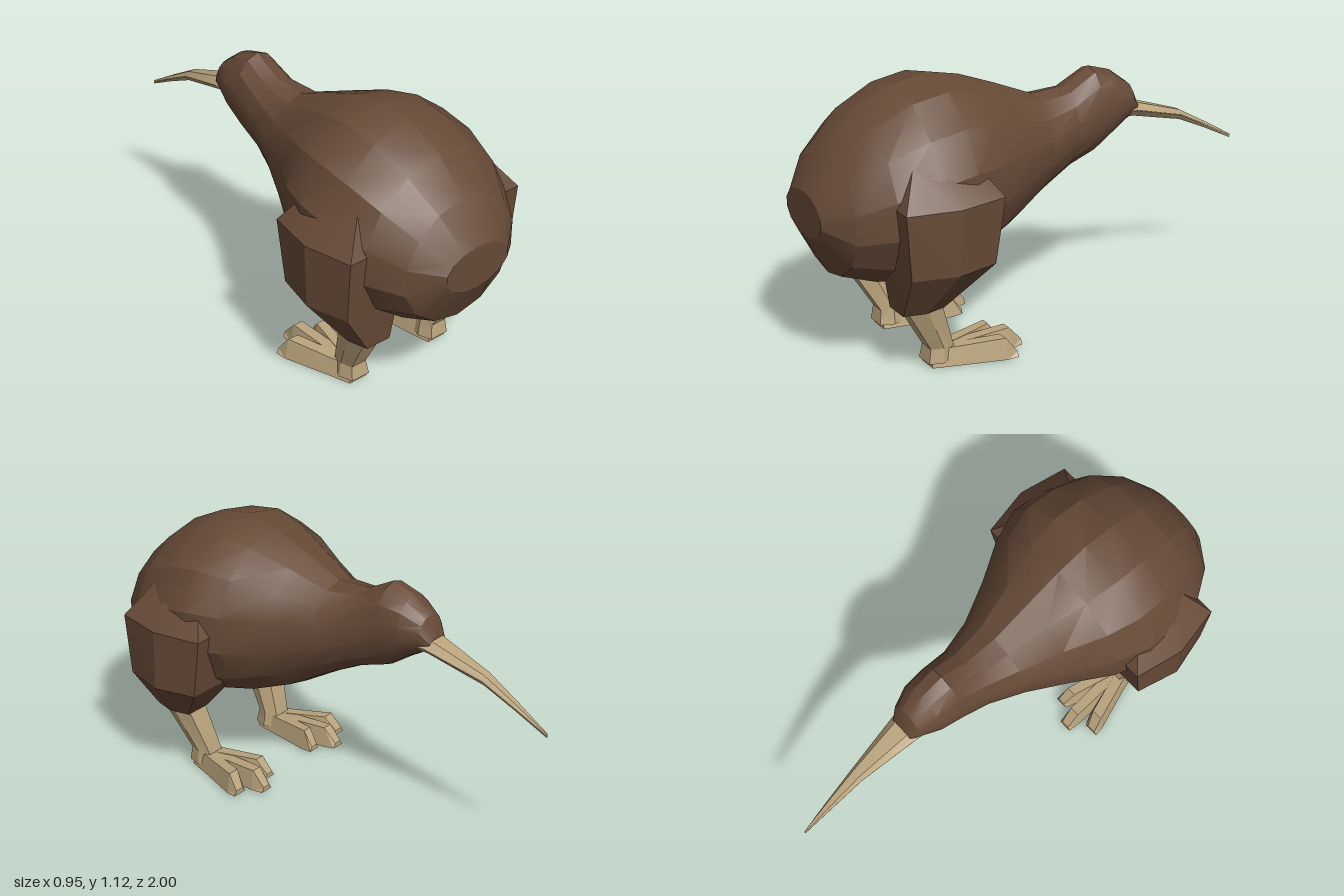
import * as THREE from 'three';
import { toCreasedNormals } from 'three/addons/utils/BufferGeometryUtils.js';

const brown = new THREE.MeshStandardMaterial({ color: 0x674a37 });
const tan = new THREE.MeshStandardMaterial({ color: 0xb9a37c });

// Closed skin through a row of rings; each ring is a list of [x, y, z]
function loft(name, rings, material, crease) {
  const n = rings[0].length, count = rings.length;
  const pts = rings.flat().map((p) => new THREE.Vector3(...p));
  const tris = [];
  for (let r = 0; r < count - 1; r++) {
    for (let i = 0; i < n; i++) {
      const a = r * n + i, b = r * n + (i + 1) % n;
      tris.push([a, b, b + n], [a, b + n, a + n]);
    }
  }
  for (const [start, flip] of [[0, true], [(count - 1) * n, false]]) {
    const mid = new THREE.Vector3();
    for (let i = 0; i < n; i++) mid.addScaledVector(pts[start + i], 1 / n);
    const c = pts.push(mid) - 1;
    for (let i = 0; i < n; i++) {
      const a = start + i, b = start + (i + 1) % n;
      tris.push(flip ? [c, b, a] : [c, a, b]);
    }
  }
  // Turn the faces outward if the enclosed volume comes out negative
  const cross = new THREE.Vector3();
  let volume = 0;
  for (const [a, b, c] of tris) volume += pts[a].dot(cross.crossVectors(pts[b], pts[c]));
  if (volume < 0) tris.forEach((t) => t.reverse());

  const indexed = new THREE.BufferGeometry().setFromPoints(pts);
  indexed.setIndex(tris.flat());
  const mesh = new THREE.Mesh(toCreasedNormals(indexed, crease), material);
  mesh.name = name;
  return mesh;
}

// Upright oval ring facing along z
function oval(z, top, bottom, halfWidth, sides) {
  return Array.from({ length: sides }, (_, i) => {
    const a = Math.PI / 2 + (i / sides) * Math.PI * 2;
    return [Math.cos(a) * halfWidth, (top + bottom) / 2 + Math.sin(a) * (top - bottom) / 2, z];
  });
}

// Level ring for thigh and shank, with a pointed outer side
function legRing(side, y, inner, outer, zFront, zBack) {
  const zMid = (zFront + zBack) / 2, shoulder = outer - (outer - inner) * 0.14;
  return [[outer, zMid], [shoulder, zBack], [inner + 0.02, zBack],
    [inner, zMid], [inner + 0.02, zFront], [shoulder, zFront]].map(([x, z]) => [side * x, y, z]);
}

// Wedge toe, widening from the heel to a sloping tip
function toe(name, side, tipX, tipZ, tipHalf) {
  const heelX = 0.212, heelZ = 0.6;
  const at = (t, half, y0, y1) => {
    const x = heelX + (tipX - heelX) * t, z = heelZ + (tipZ - heelZ) * t;
    return [[-half, y0], [half, y0], [half * 0.6, y1], [-half * 0.6, y1]]
      .map(([dx, y]) => [side * (x + dx), y, z]);
  };
  return loft(name, [at(0, 0.045, 0, 0.07), at(0.3, 0.04, 0, 0.075),
    at(0.86, tipHalf, 0.005, 0.092), at(1, tipHalf * 0.8, 0.01, 0.03)], tan, 0.2);
}

export function createModel() {
  const bird = new THREE.Group();
  bird.name = 'bird';

  // Body, neck and head: z, top, bottom, half width
  const body = [
    [1.0, 0.73, 0.55, 0.16], [0.91, 0.89, 0.38, 0.28], [0.78, 1.01, 0.335, 0.365],
    [0.62, 1.09, 0.315, 0.405], [0.47, 1.115, 0.345, 0.41], [0.33, 1.085, 0.38, 0.36],
    [0.17, 1.025, 0.445, 0.265], [0.0, 0.955, 0.55, 0.18], [-0.15, 0.965, 0.63, 0.132],
    [-0.27, 1.03, 0.67, 0.118], [-0.37, 1.0, 0.74, 0.108], [-0.45, 0.94, 0.79, 0.075],
    [-0.485, 0.86, 0.81, 0.05],
  ];
  bird.add(loft('body', body.map(([z, t, b, w]) => oval(z, t, b, w, 14)), brown, 0.42));

  // Beak halves: z, seam height, half width, thickness
  const beak = [[-0.4, 0.828, 0.073, 0.027], [-0.47, 0.825, 0.066, 0.03],
    [-0.72, 0.755, 0.031, 0.021], [-0.86, 0.685, 0.018, 0.014], [-1.0, 0.61, 0.004, 0.008]];
  for (const [name, dir] of [['upperBeak', 1], ['lowerBeak', -1]]) {
    bird.add(loft(name, beak.map(([z, y, w, h]) => [
      [-w, y + dir * 0.001, z], [w, y + dir * 0.001, z],
      [w * 0.55, y + dir * h, z], [-w * 0.55, y + dir * h, z]]), tan, 0.3));
  }

  for (const side of [1, -1]) {
    const leg = new THREE.Group();
    leg.name = side > 0 ? 'leftLeg' : 'rightLeg';
    // Feathered thigh
    leg.add(loft('thigh', [
      legRing(side, 0.27, 0.17, 0.325, 0.57, 0.745),
      legRing(side, 0.46, 0.15, 0.47, 0.41, 0.765),
      legRing(side, 0.72, 0.18, 0.473, 0.37, 0.785),
      legRing(side, 0.86, 0.2, 0.345, 0.46, 0.7),
    ], brown, 0.35));
    // Bare shank
    leg.add(loft('shank', [
      legRing(side, 0.02, 0.15, 0.275, 0.5, 0.615),
      legRing(side, 0.08, 0.16, 0.268, 0.505, 0.605),
      legRing(side, 0.3, 0.182, 0.318, 0.58, 0.735),
    ], tan, 0.3));
    // Foot with three toes
    leg.add(toe('outerToe', side, 0.325, 0.27, 0.04));
    leg.add(toe('middleToe', side, 0.235, 0.2, 0.036));
    leg.add(toe('innerToe', side, 0.147, 0.26, 0.034));
    bird.add(leg);
  }
  return bird;
}
